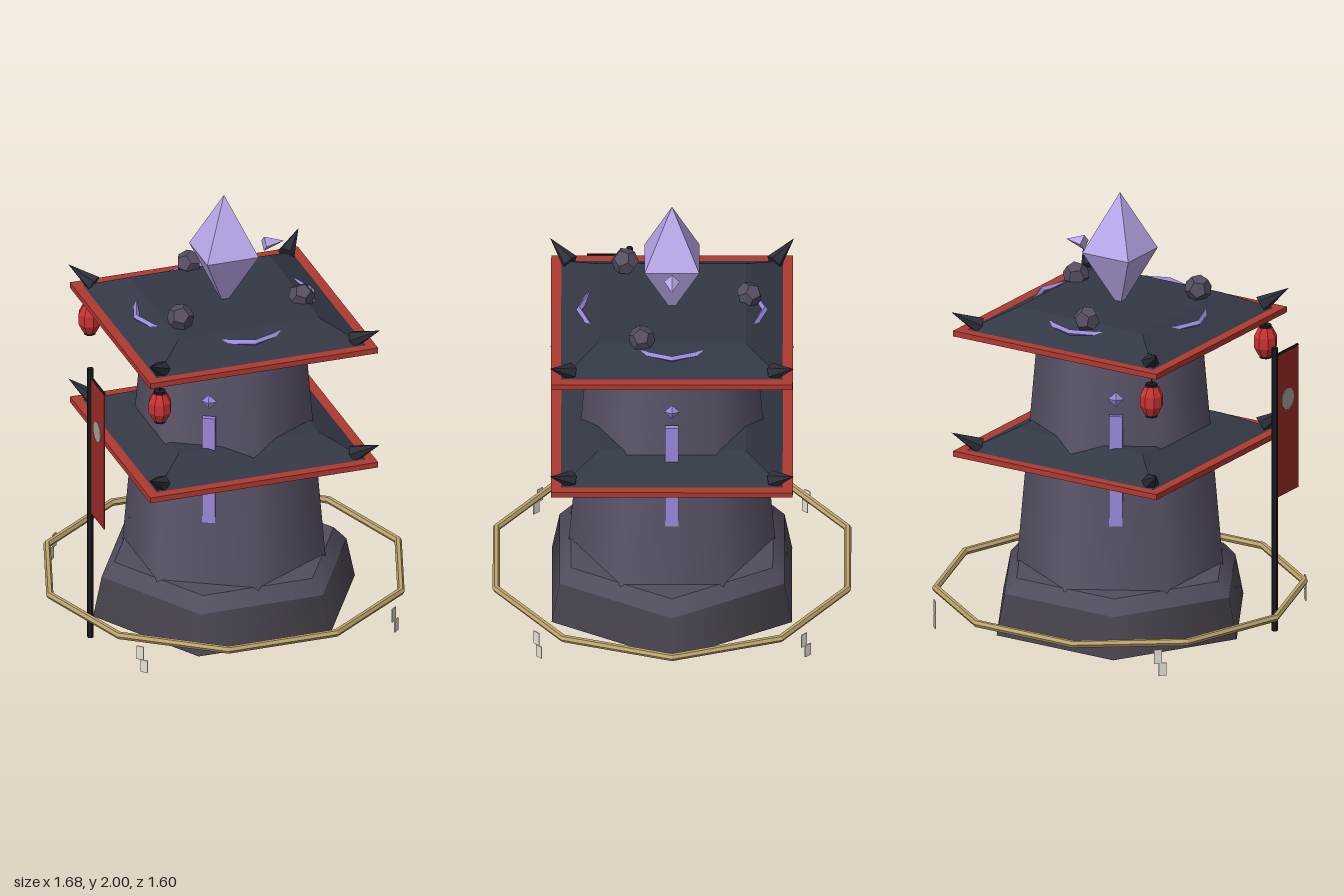
import * as THREE from 'three';

const mat = (color, extra = {}) => new THREE.MeshStandardMaterial({ color, ...extra });
const flat = (color) => mat(color, { flatShading: true });
const M = {
  wall: mat(0x5c566b), base: mat(0x49444f), baseTier: mat(0x524d5e),
  roof: flat(0x333845), eave: flat(0xb03a30), horn: flat(0x2c2f38),
  crystal: flat(0xbba9ec), glow: flat(0x9c88dc), rock: flat(0x544e60),
  gold: flat(0xbda56c), black: flat(0x1b1a1e), lantern: flat(0xcc3333),
  banner: mat(0x9c2c28, { side: THREE.DoubleSide }), paper: flat(0xe6e2d6), disc: flat(0xa8a49c),
};

function add(parent, name, geometry, material, x = 0, y = 0, z = 0) {
  const mesh = new THREE.Mesh(geometry, material);
  mesh.name = name;
  mesh.position.set(x, y, z);
  parent.add(mesh);
  return mesh;
}

// Prism or frustum standing between two heights
function frustum(parent, name, material, rBottom, rTop, y0, y1, sides, turn = 0) {
  const g = new THREE.CylinderGeometry(rTop, rBottom, y1 - y0, sides);
  const m = add(parent, name, g, material, 0, (y0 + y1) / 2, 0);
  m.rotation.y = turn;
  return m;
}

// Square roof: eave slab, sloped top and four corner horns
function makeRoof(name, y) {
  const roof = new THREE.Group();
  roof.name = name;
  roof.position.y = y;
  add(roof, 'eaveSlab', new THREE.BoxGeometry(1.08, 0.026, 1.08), M.eave, 0, -0.013, 0);
  frustum(roof, 'roofSlope', M.roof, 0.495 * Math.SQRT2, 0.33 * Math.SQRT2, 0, 0.09, 4, Math.PI / 4);
  for (const sx of [-1, 1]) for (const sz of [-1, 1]) {
    const from = new THREE.Vector3(sx * 0.455, 0.018, sz * 0.455);
    const to = new THREE.Vector3(sx * 0.545, 0.088, sz * 0.545);
    const axis = to.clone().sub(from);
    const horn = add(roof, 'cornerHorn', new THREE.ConeGeometry(0.04, axis.length(), 6), M.horn);
    horn.position.copy(from).add(to).multiplyScalar(0.5);
    horn.quaternion.setFromUnitVectors(new THREE.Vector3(0, 1, 0), axis.normalize());
  }
  return roof;
}

function makeLantern(x, z) {
  const g = new THREE.Group();
  g.name = 'lantern';
  g.position.set(x, 1.245, z);
  const profile = [[0, -0.068], [0.032, -0.066], [0.053, -0.025], [0.053, 0.025], [0.032, 0.066], [0, 0.068]]
    .map(([r, y]) => new THREE.Vector2(r, y));
  add(g, 'lanternBody', new THREE.LatheGeometry(profile, 8), M.lantern);
  for (const s of [-1, 1])
    add(g, 'lanternCap', new THREE.CylinderGeometry(0.028, 0.028, 0.016, 8), M.black, 0, s * 0.07, 0);
  add(g, 'lanternCord', new THREE.CylinderGeometry(0.004, 0.004, 0.065, 4), M.black, 0, 0.105, 0);
  return g;
}

export function createModel() {
  const model = new THREE.Group();
  model.name = 'tower';

  // Hexagonal plinth and tapering hexagonal walls
  frustum(model, 'plinth', M.base, 0.62, 0.58, 0, 0.19, 6, Math.PI / 6);
  frustum(model, 'plinthTier', M.baseTier, 0.58, 0.52, 0.19, 0.255, 6, Math.PI / 6);
  frustum(model, 'towerWall', M.wall, 0.465, 0.364, 0.2, 1.38, 6);
  frustum(model, 'collar', M.roof, 0.375, 0.4, 1.345, 1.376, 6);

  model.add(makeRoof('lowerRoof', 0.83), makeRoof('upperRoof', 1.4));

  // Glowing strip and small gem on every other wall
  for (let i = 0; i < 3; i++) {
    const side = new THREE.Group();
    side.name = 'wallRune';
    side.rotation.y = (i * 2 * Math.PI) / 3;
    add(side, 'runeStrip', new THREE.BoxGeometry(0.025, 0.52, 0.06), M.glow, 0.368, 0.81, 0);
    add(side, 'runeGem', new THREE.OctahedronGeometry(0.036), M.glow, 0.366, 1.147, 0).scale.x = 0.45;
    model.add(side);
  }

  // Bent glowing bars on the four slopes of the upper roof
  for (let i = 0; i < 4; i++) {
    const pivot = new THREE.Group();
    pivot.name = 'roofRune';
    pivot.rotation.y = (i * Math.PI) / 2;
    const half = 0.7;
    const arc = new THREE.TorusGeometry(0.215, 0.014, 4, 2, half * 2);
    arc.rotateZ(-half).rotateX(-Math.PI / 2);
    add(pivot, 'roofRuneBar', arc, M.glow, 0.2, 1.458, 0);
    model.add(pivot);
  }

  // Crystal above the roof, with a loose shard beside it
  const crystal = new THREE.Group();
  crystal.name = 'crystal';
  const r = 0.122 * Math.SQRT2;
  frustum(crystal, 'crystalTop', M.crystal, r, 0, 1.725, 2, 4, Math.PI / 4);
  frustum(crystal, 'crystalBottom', M.crystal, 0, r, 1.45, 1.725, 4, Math.PI / 4);
  add(crystal, 'shard', new THREE.ConeGeometry(0.035, 0.095, 4).rotateZ(-Math.PI / 2), M.crystal, 0.237, 1.725, 0);
  model.add(crystal);

  // Rocks on the upper roof
  [[-0.28, 1.535, 0.21, 0.062], [0.32, 1.508, 0.135, 0.06], [-0.045, 1.508, -0.345, 0.06]].forEach(([x, y, z, s], i) => {
    add(model, 'rock', new THREE.DodecahedronGeometry(s), M.rock, x, y, z).rotation.set(i + 0.4, i * 1.7, 0.3);
  });

  // Lanterns under the right-hand corners
  model.add(makeLantern(-0.47, 0.47), makeLantern(-0.47, -0.47));

  // Ten-sided ring around the base
  add(model, 'ring', new THREE.TorusGeometry(0.825, 0.017, 6, 10).rotateX(Math.PI / 2), M.gold, 0, 0.14, 0);

  // Folded paper streamers hanging from the ring
  for (let i = 0; i < 4; i++) {
    const streamer = new THREE.Group();
    streamer.name = 'streamer';
    streamer.rotation.y = Math.PI / 4 + (i * Math.PI) / 2;
    add(streamer, 'streamerUpper', new THREE.BoxGeometry(0.035, 0.065, 0.005), M.paper, -0.01, 0.092, 0.845);
    add(streamer, 'streamerLower', new THREE.BoxGeometry(0.035, 0.06, 0.005), M.paper, 0.01, 0.032, 0.849);
    model.add(streamer);
  }

  // Flagpole with crossbar, banner and plain round patch
  const flag = new THREE.Group();
  flag.name = 'flag';
  flag.position.set(-0.7, 0, 0.19);
  add(flag, 'pole', new THREE.CylinderGeometry(0.015, 0.015, 1.34, 6), M.black, 0, 0.67, 0);
  add(flag, 'crossbar', new THREE.CylinderGeometry(0.006, 0.006, 0.19, 5).rotateX(Math.PI / 2), M.black, 0, 1.3, 0.095);
  add(flag, 'banner', new THREE.BoxGeometry(0.006, 0.67, 0.18), M.banner, 0, 0.96, 0.1);
  add(flag, 'bannerPatch', new THREE.CylinderGeometry(0.05, 0.05, 0.012, 12).rotateZ(Math.PI / 2), M.disc, 0, 1.07, 0.1);
  model.add(flag);

  return model;
}
